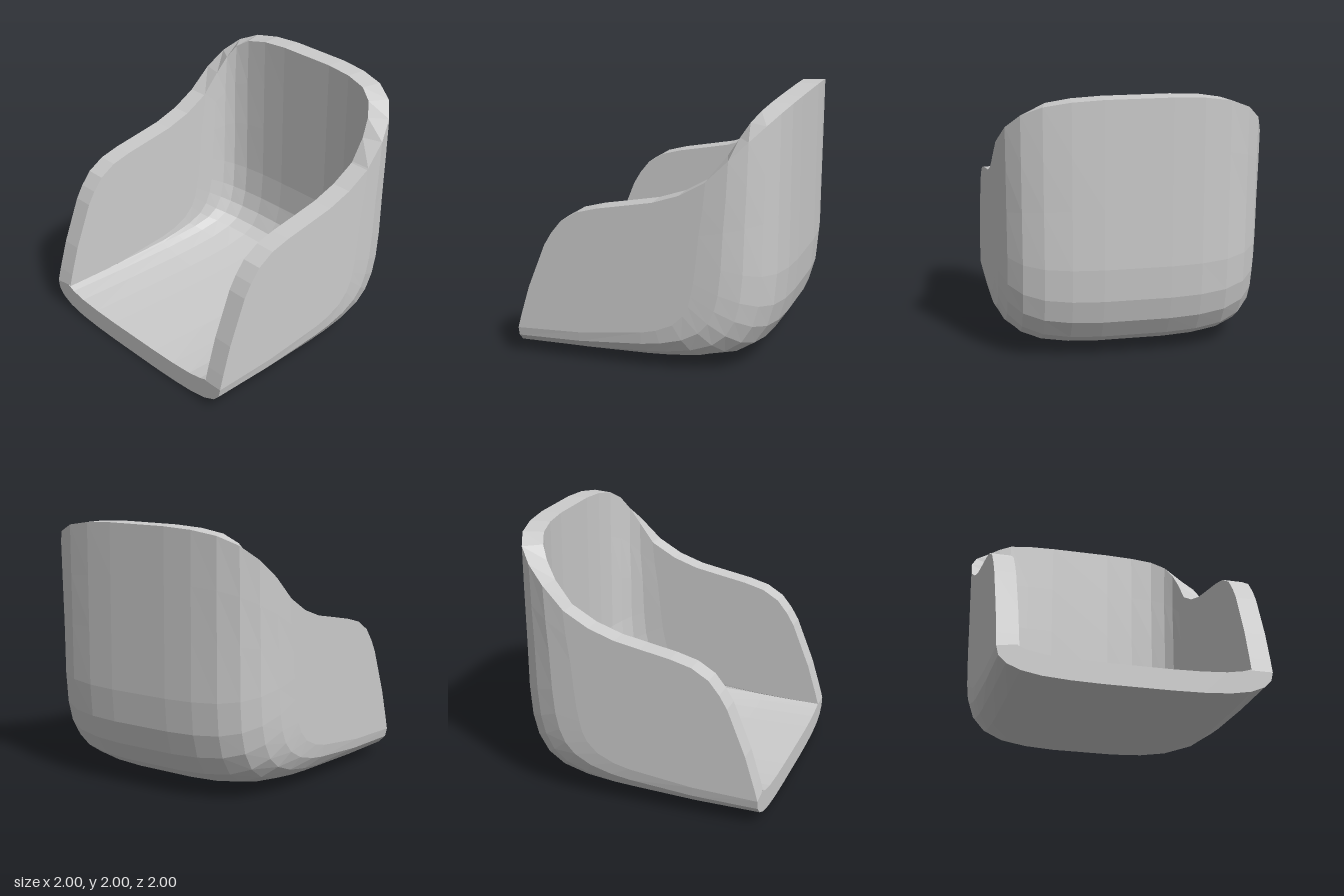
import * as THREE from 'three';

const THICKNESS = 0.16;

// Side-view paths as [z, y], front to back top: spine (x = 0),
// start of the flat side panel, and the free edge of the arm.
const SPINE = [[1, 0], [0.5, 0], [0, 0.003], [-0.2, 0.01], [-0.45, 0.03], [-0.68, 0.08], [-0.83, 0.17],
  [-0.93, 0.32], [-0.98, 0.5], [-1, 0.75], [-1, 1.2], [-1, 1.6], [-1, 2]];
const PANEL = [[1, 0.21], [0.5, 0.235], [0, 0.3], [-0.12, 0.33], [-0.25, 0.39], [-0.33, 0.47], [-0.37, 0.55],
  [-0.39, 0.63], [-0.41, 0.73], [-0.43, 0.9], [-0.45, 1.1], [-0.48, 1.3], [-0.5, 1.5]];
const ARM = [[1, 0.21], [0.97, 0.32], [0.9, 0.55], [0.76, 0.9], [0.7, 1.0], [0.62, 1.1], [0.49, 1.18],
  [0.33, 1.225], [0.1, 1.27], [-0.1, 1.31], [-0.3, 1.38], [-0.49, 1.49], [-0.5, 1.5]];

// Rounded corner of the cross-section: [x, fraction from spine to panel]
const CORNER = [[0.25, 0], [0.48, 0.025], [0.68, 0.09], [0.83, 0.22], [0.93, 0.42], [0.985, 0.68], [1, 1]];

const ROWS = SPINE.length;
const COLS = 2 * (CORNER.length + 1);

function outerPoints() {
  const points = [];
  for (let i = 0; i < ROWS; i++) {
    const half = CORNER.map(([x, f]) => new THREE.Vector3(
      x,
      THREE.MathUtils.lerp(SPINE[i][1], PANEL[i][1], f),
      THREE.MathUtils.lerp(SPINE[i][0], PANEL[i][0], f)));
    half.push(new THREE.Vector3(1, ARM[i][1], ARM[i][0]));
    const mirrored = half.map((p) => new THREE.Vector3(-p.x, p.y, p.z)).reverse();
    points.push(...mirrored, ...half);
  }
  return points;
}

function buildGeometry(points, quads) {
  const geometry = new THREE.BufferGeometry().setFromPoints(points);
  geometry.setIndex(quads.flatMap(([a, b, c, d]) => [a, b, c, a, c, d]));
  geometry.computeVertexNormals();
  return geometry;
}

export function createModel() {
  const group = new THREE.Group();
  group.name = 'tubChair';
  const material = new THREE.MeshStandardMaterial({ color: 0xcccccc, flatShading: true });
  const at = (i, j) => i * COLS + j;

  // Outer skin
  const outer = outerPoints();
  const skin = [];
  for (let i = 0; i < ROWS - 1; i++) {
    for (let j = 0; j < COLS - 1; j++) {
      skin.push([at(i, j), at(i + 1, j), at(i + 1, j + 1), at(i, j + 1)]);
    }
  }
  const outerGeometry = buildGeometry(outer, skin);

  // Inner skin: outer skin moved inward, keeping front and top edges level
  const normals = outerGeometry.getAttribute('normal');
  const inner = outer.map((p, k) => {
    const row = Math.floor(k / COLS);
    const col = k % COLS;
    const n = new THREE.Vector3().fromBufferAttribute(normals, k);
    if (row === 0) n.z = 0;
    if (row === ROWS - 1) n.y = 0;
    if (col < 2 || col > COLS - 3) n.set(Math.sign(p.x), 0, 0);
    return p.clone().addScaledVector(n.normalize(), -THICKNESS);
  });
  const innerGeometry = buildGeometry(inner, skin.map((q) => [...q].reverse()));

  // Rim joining the two skins around the whole free edge
  const loop = [];
  for (let j = 0; j < COLS - 1; j++) loop.push(at(0, j));
  for (let i = 0; i < ROWS - 1; i++) loop.push(at(i, COLS - 1));
  for (let j = COLS - 1; j > 0; j--) loop.push(at(ROWS - 1, j));
  for (let i = ROWS - 1; i > 0; i--) loop.push(at(i, 0));
  const count = outer.length;
  const rimQuads = loop.map((a, k) => {
    const b = loop[(k + 1) % loop.length];
    return [a, b, b + count, a + count];
  });
  const rimGeometry = buildGeometry([...outer, ...inner], rimQuads);

  const parts = { outerShell: outerGeometry, innerShell: innerGeometry, rim: rimGeometry };
  for (const [name, geometry] of Object.entries(parts)) {
    const mesh = new THREE.Mesh(geometry, material);
    mesh.name = name;
    group.add(mesh);
  }
  return group;
}
